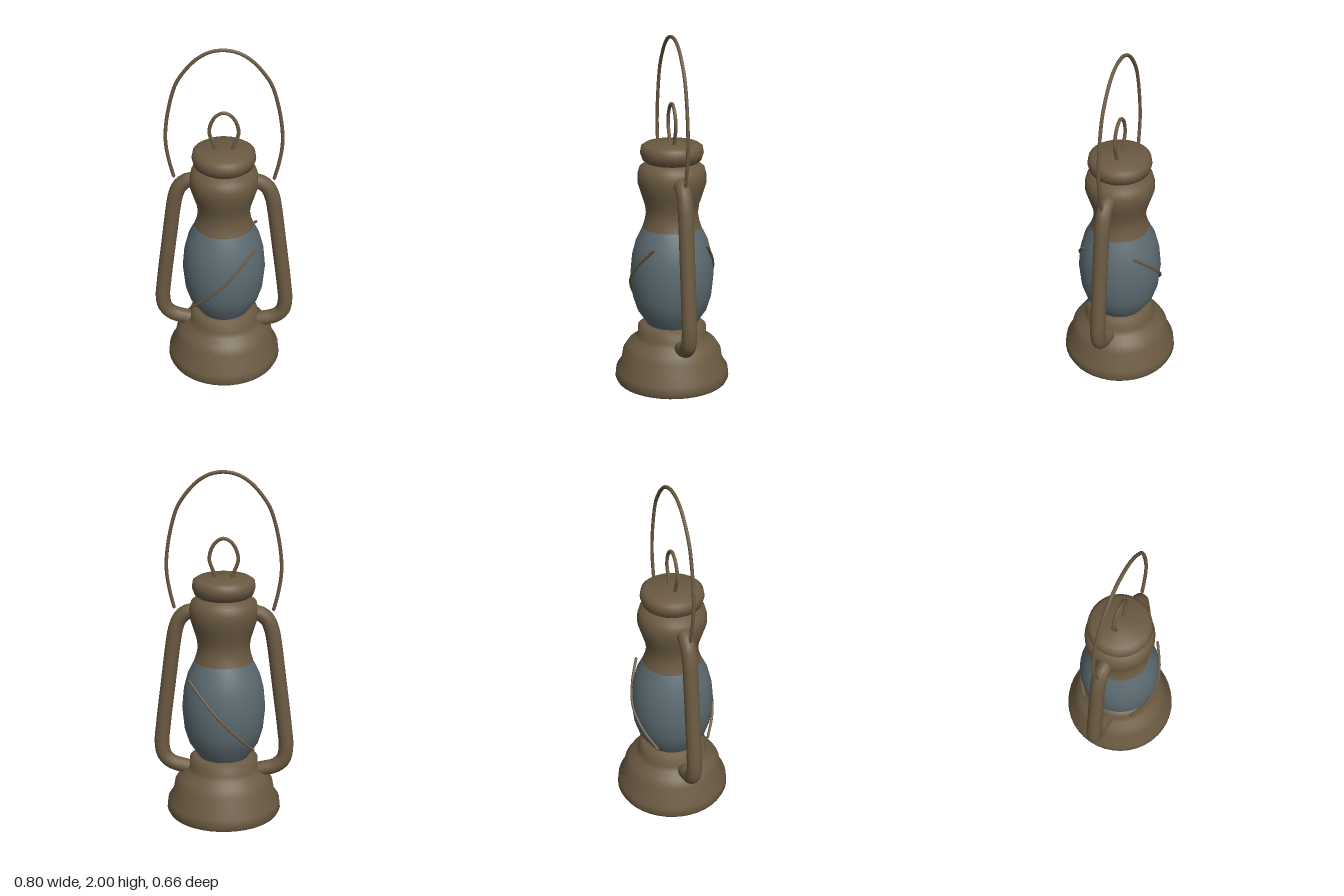
import * as THREE from 'three';
import { toCreasedNormals } from 'three/addons/utils/BufferGeometryUtils.js';

export function createModel() {
  const model = new THREE.Group();
  model.name = 'lantern';
  const metal = new THREE.MeshStandardMaterial({ color: 0x6b5a42 });
  metal.name = 'aged brass';
  const glass = new THREE.MeshStandardMaterial({ color: 0x5b6a70 });
  glass.name = 'smoky glass';

  // Turned part from [radius, height] pairs, bottom to top
  function turned(name, profile, material) {
    const points = profile.map(([r, y]) => new THREE.Vector2(r, y));
    const mesh = new THREE.Mesh(toCreasedNormals(new THREE.LatheGeometry(points, 40), 0.9), material);
    mesh.name = name;
    model.add(mesh);
  }

  // Round bar along a smooth path, with rounded ends
  function bar(name, path, radius, sides = 10, steps = 48) {
    const group = new THREE.Group();
    group.name = name;
    const points = path.map(p => new THREE.Vector3(...p));
    const curve = new THREE.CatmullRomCurve3(points, false, 'centripetal');
    group.add(new THREE.Mesh(new THREE.TubeGeometry(curve, steps, radius, sides), metal));
    for (const end of [points[0], points[points.length - 1]]) {
      const tip = new THREE.Mesh(new THREE.SphereGeometry(radius, sides, 6), metal);
      tip.position.copy(end);
      group.add(tip);
    }
    group.children.forEach((m, i) => { m.name = name + (i ? 'End' : 'Rod'); });
    model.add(group);
  }

  // Half a symmetric path, completed by mirroring across x
  const mirrored = half => [
    ...half.map(([x, y]) => [-x, y, 0]),
    ...half.slice(0, -1).reverse().map(([x, y]) => [x, y, 0]),
  ];

  turned('fuelBase', [
    [0, 0], [0.32, 0], [0.33, 0.02], [0.325, 0.07], [0.295, 0.115], [0.284, 0.18],
    [0.255, 0.225], [0.215, 0.255], [0.197, 0.28], [0.197, 0.325], [0.175, 0.345], [0, 0.345],
  ], metal);

  turned('glassGlobe', [
    [0, 0.335], [0.14, 0.34], [0.2, 0.43], [0.225, 0.51], [0.238, 0.64],
    [0.228, 0.75], [0.205, 0.84], [0.165, 0.92], [0, 0.925],
  ], glass);

  turned('chimney', [
    [0, 0.92], [0.167, 0.92], [0.155, 0.955], [0.147, 1.0], [0.153, 1.05], [0.172, 1.11],
    [0.194, 1.18], [0.194, 1.225], [0.183, 1.265], [0.145, 1.295], [0, 1.3],
  ], metal);

  turned('cap', [
    [0, 1.285], [0.145, 1.295], [0.165, 1.31], [0.178, 1.35], [0.172, 1.385], [0.15, 1.4], [0, 1.402],
  ], metal);

  // Side tubes joining the base to the chimney
  for (const s of [1, -1]) {
    bar(s > 0 ? 'leftSideTube' : 'rightSideTube', [
      [0.16, 0.24], [0.22, 0.26], [0.3, 0.283], [0.345, 0.325], [0.36, 0.4], [0.35, 0.52],
      [0.315, 0.8], [0.285, 1.03], [0.272, 1.1], [0.245, 1.165], [0.2, 1.2], [0.16, 1.205],
    ].map(([x, y]) => [s * x, y, 0]), 0.043, 14);
  }

  // Carrying handle and small lifting ring
  bar('carryHandle', mirrored([
    [0.28, 1.225], [0.305, 1.33], [0.32, 1.45], [0.307, 1.6], [0.265, 1.77],
    [0.235, 1.83], [0.155, 1.927], [0.08, 1.975], [0, 1.99],
  ]), 0.01, 8, 72);
  bar('topRing', mirrored([
    [0.045, 1.39], [0.06, 1.44], [0.08, 1.5], [0.067, 1.565], [0.035, 1.608], [0, 1.622],
  ]), 0.01, 8);

  // Guard wires crossing the globe diagonally
  for (const s of [1, -1]) {
    bar(s > 0 ? 'frontGuardWire' : 'backGuardWire', [
      [-0.18, 0.44, s * 0.155], [-0.1, 0.53, s * 0.212], [0, 0.64, s * 0.24],
      [0.09, 0.74, s * 0.212], [0.18, 0.84, s * 0.155],
    ], 0.008, 8, 24);
  }

  return model;
}
